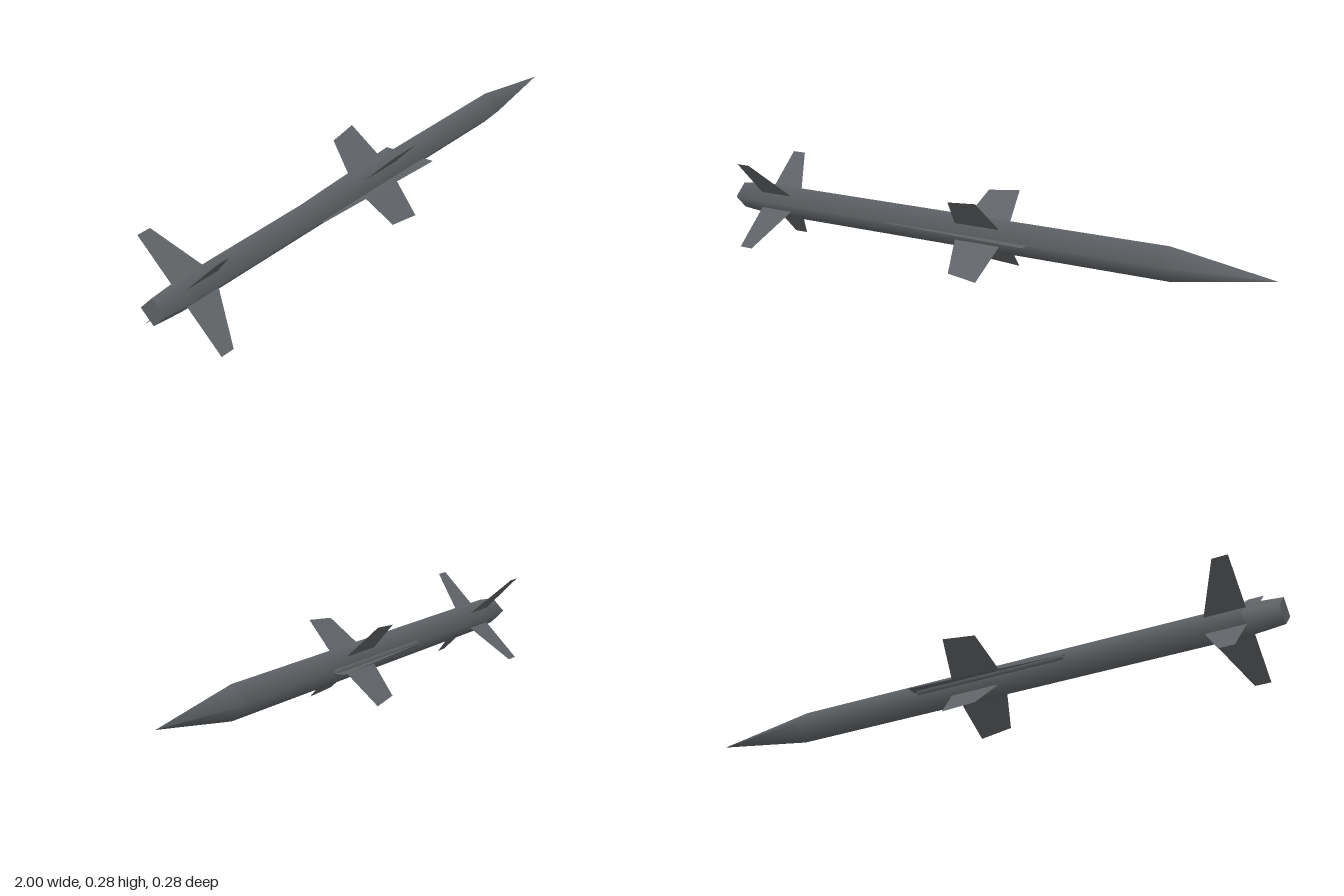
import * as THREE from 'three';

const AXIS_Y = 0.142, RADIUS = 0.053;

export function createModel() {
  const grey = new THREE.MeshStandardMaterial({ color: 0x5e6266, side: THREE.DoubleSide });
  grey.name = 'dark grey';
  const model = new THREE.Group();
  model.name = 'missile';

  const add = (name, geometry) => {
    const mesh = new THREE.Mesh(geometry, grey);
    mesh.name = name;
    mesh.position.y = AXIS_Y;
    model.add(mesh);
    return mesh;
  };
  // Four-sided smooth body of revolution along x; profile pairs are [radius, x]
  const turned = (profile) =>
    new THREE.LatheGeometry(profile.map(([r, x]) => new THREE.Vector2(r, x)), 4).rotateZ(-Math.PI / 2);
  // Flat plate; outline pairs are [x, distance from the axis]
  const plate = (outline) =>
    new THREE.ShapeGeometry(new THREE.Shape(outline.map(([x, r]) => new THREE.Vector2(x, r))));

  // Fuselage
  add('tailCone', turned([[0.043, -1], [RADIUS, -0.89]]));
  add('body', turned([[RADIUS, -0.89], [RADIUS, 0.66]]));
  add('nose', turned([[RADIUS, 0.66], [0, 1]]));
  add('tailCap', new THREE.CircleGeometry(0.043, 4).rotateY(-Math.PI / 2)).position.x = -1;

  // Four diagonal wings and tail fins, reaching out by r * sqrt(2)
  const s = Math.SQRT2;
  const wing = plate([[-0.085, 0.026 * s], [0.083, 0.026 * s], [0.06, 0.123 * s], [-0.05, 0.113 * s]]);
  const fin = plate([[-0.895, 0.026 * s], [-0.765, 0.026 * s], [-0.845, 0.142 * s], [-0.895, 0.142 * s]]);
  for (let i = 0; i < 4; i++) {
    const angle = Math.PI / 4 + i * Math.PI / 2;
    add('wing', wing).rotation.x = angle;
    add('tailFin', fin).rotation.x = angle;
  }

  // Long tapered strakes on both sides
  const strake = plate([[-0.33, 0.05], [0.205, 0.05], [0.205, 0.09], [-0.33, 0.062]]);
  for (const side of [1, -1]) add('strake', strake).rotation.x = side * Math.PI / 2;

  // Small cable duct along the back edge
  const duct = add('cableDuct', turned([[0, -0.33], [0.01, -0.32], [0.01, 0.19], [0, 0.2]]));
  duct.position.z = -0.052;

  return model;
}
